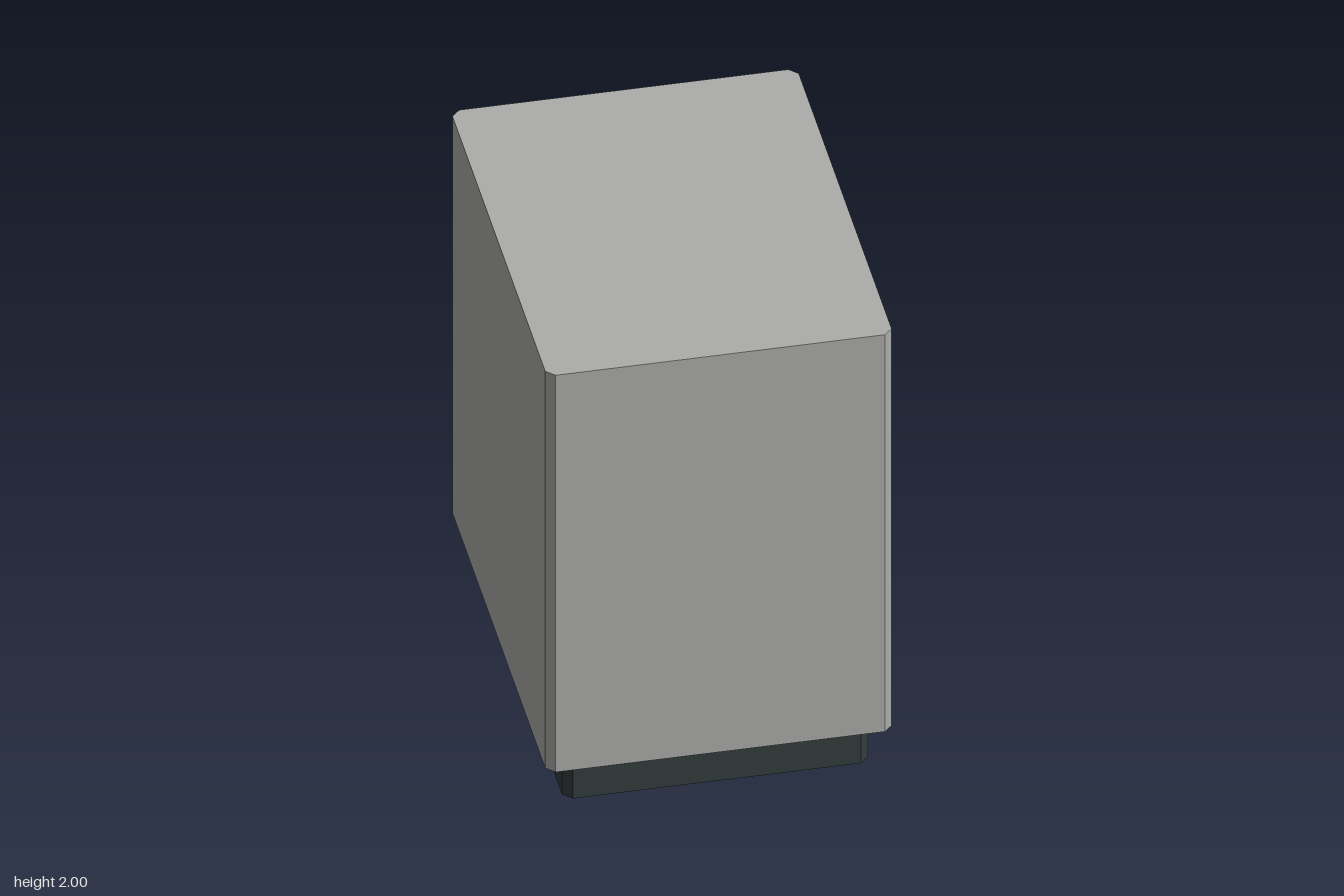
import * as THREE from 'three';

const grey = new THREE.MeshStandardMaterial({ color: 0xacacaa });
grey.name = 'cabinetGrey';
const dark = new THREE.MeshStandardMaterial({ color: 0x343c3c });
dark.name = 'plinthDark';

function add(parent, name, geometry, material) {
  const mesh = new THREE.Mesh(geometry, material);
  mesh.name = name;
  parent.add(mesh);
  return mesh;
}

// Upright block with its four vertical edges cut at an angle
function chamferedBlock(halfWidth, z0, z1, y0, y1, cx, cz = cx) {
  const w = halfWidth;
  const outline = [
    [-w + cx, z0], [w - cx, z0], [w, z0 + cz], [w, z1 - cz],
    [w - cx, z1], [-w + cx, z1], [-w, z1 - cz], [-w, z0 + cz],
  ];
  const shape = new THREE.Shape(outline.map(([x, z]) => new THREE.Vector2(x, -z)));
  return new THREE.ExtrudeGeometry(shape, { depth: y1 - y0, bevelEnabled: false })
    .rotateX(-Math.PI / 2).translate(0, y0, 0);
}

// Stepped pull: side profile in (z, y), swept across x
function pullGeometry(halfWidth) {
  const profile = [
    [-0.84, 1.73], [-0.903, 1.73], [-0.903, 1.655], [-0.935, 1.655],
    [-0.935, 1.613], [-0.877, 1.613], [-0.877, 1.637], [-0.84, 1.637],
  ];
  const shape = new THREE.Shape(profile.map(([z, y]) => new THREE.Vector2(z, y)));
  return new THREE.ExtrudeGeometry(shape, { depth: halfWidth * 2, bevelEnabled: false })
    .rotateY(-Math.PI / 2).translate(halfWidth, 0, 0);
}

function createDrawer(name, offsetY) {
  const drawer = new THREE.Group();
  drawer.name = name;
  add(drawer, 'drawerFront', chamferedBlock(0.627, -0.848, -0.79, 1.105, 1.94, 0.026), grey);
  add(drawer, 'drawerPull', pullGeometry(0.235), grey);
  // Label holder with a raised inner plate
  add(drawer, 'labelHolder', new THREE.BoxGeometry(0.2, 0.082, 0.04), grey)
    .position.set(0, 1.304, -0.862);
  add(drawer, 'labelPlate', new THREE.BoxGeometry(0.17, 0.055, 0.025), grey)
    .position.set(0, 1.304, -0.891);
  drawer.position.y = offsetY;
  return drawer;
}

export function createModel() {
  const model = new THREE.Group();
  model.name = 'filingCabinet';

  // Plinth and body
  add(model, 'plinth', chamferedBlock(0.585, -0.687, 0.875, 0, 0.175, 0.035), dark);
  add(model, 'cabinetBody', chamferedBlock(0.662, -0.808, 0.935, 0.175, 2, 0.033), grey);

  // Two matching drawers
  model.add(createDrawer('upperDrawer', 0));
  model.add(createDrawer('lowerDrawer', -0.867));

  // Lock barrel with a dark core
  const lock = new THREE.Group();
  lock.name = 'lock';
  const barrel = new THREE.CylinderGeometry(0.033, 0.033, 0.055, 8)
    .rotateY(Math.PI / 8).rotateX(Math.PI / 2).toNonIndexed();
  barrel.computeVertexNormals();
  add(lock, 'lockBarrel', barrel, grey).position.z = -0.8705;
  const core = new THREE.CylinderGeometry(0.016, 0.016, 0.02, 8)
    .rotateX(Math.PI / 2).toNonIndexed();
  core.computeVertexNormals();
  add(lock, 'lockCore', core, dark).position.z = -0.899;
  lock.position.y = 1.885;
  model.add(lock);

  return model;
}
